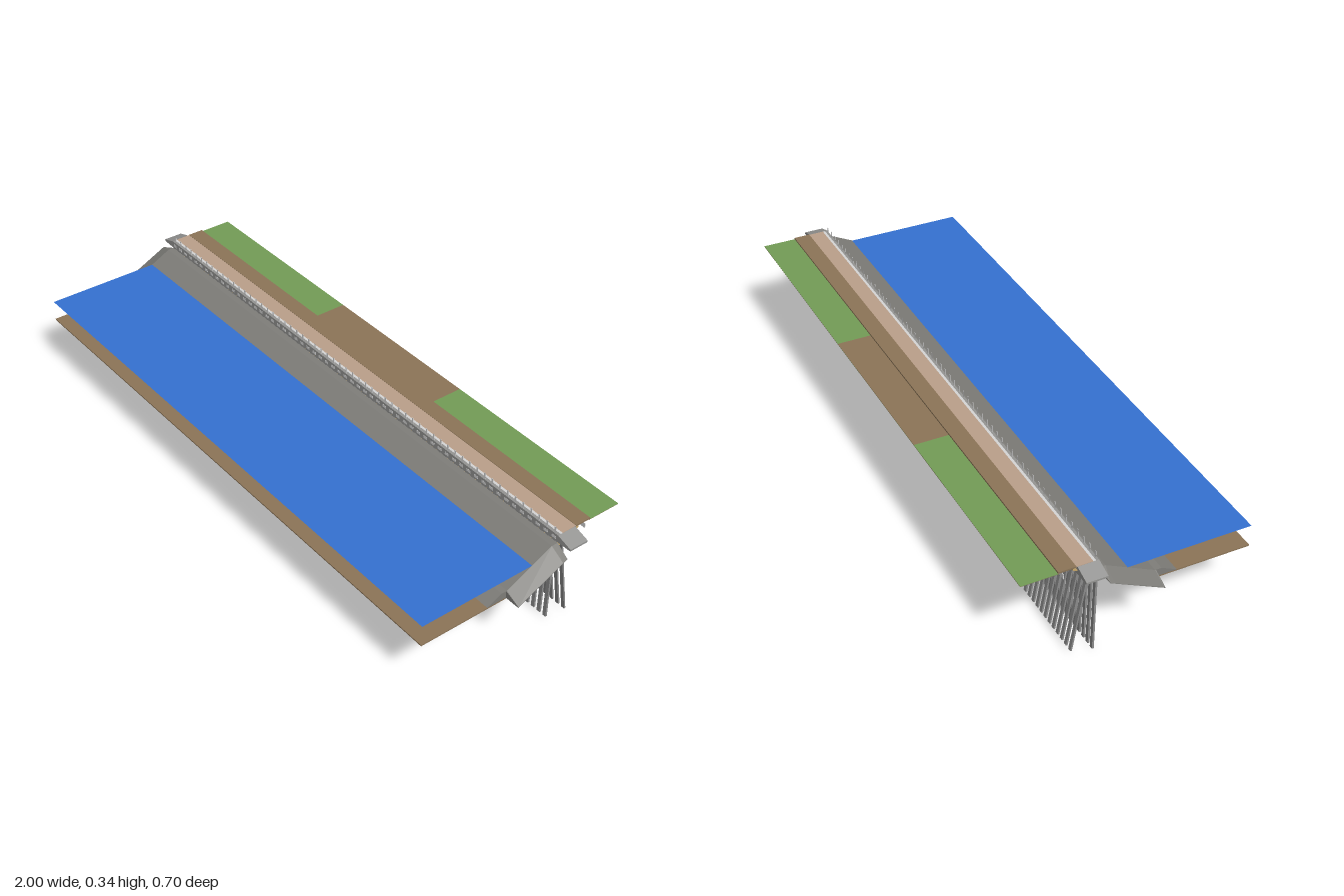
import * as THREE from 'three';

const mat = (name, color, side = THREE.FrontSide) => {
  const m = new THREE.MeshStandardMaterial({ color, side });
  m.name = name;
  return m;
};

// Solid from matching [z, y] profiles placed along x; ends are fanned from point 0.
function loft(sections) {
  const v = [], n = sections[0].p.length, end = sections.length - 1;
  const put = (s, i) => v.push(sections[s].x, sections[s].p[i % n][1], sections[s].p[i % n][0]);
  for (let s = 0; s < end; s++) {
    for (let i = 0; i < n; i++) {
      put(s, i); put(s, i + 1); put(s + 1, i + 1);
      put(s, i); put(s + 1, i + 1); put(s + 1, i);
    }
  }
  for (let i = 1; i < n - 1; i++) {
    put(end, 0); put(end, i); put(end, i + 1);
    put(0, 0); put(0, i + 1); put(0, i);
  }
  const g = new THREE.BufferGeometry();
  g.setAttribute('position', new THREE.Float32BufferAttribute(v, 3));
  g.computeVertexNormals();
  return g;
}

export function createModel() {
  const root = new THREE.Group();
  root.name = 'quayWall';
  const M = {
    water: mat('water blue', 0x3470d0, THREE.DoubleSide),
    earth: mat('earth brown', 0x8b7457),
    grass: mat('grass green', 0x739b56),
    paving: mat('paving tan', 0xba9f89),
    filter: mat('filter sand', 0xc4a468),
    rock: mat('rock grey', 0x7e7d79),
    concrete: mat('concrete grey', 0x949492),
    steel: mat('pile grey', 0x8a8a8a),
    light: mat('fitting light grey', 0xd4d4d4),
  };
  const add = (name, geo, material, parent = root) => {
    const m = new THREE.Mesh(geo, material);
    m.name = name;
    parent.add(m);
    return m;
  };
  // Box given by its limits on each axis
  const slab = (name, material, x0, x1, y0, y1, z0, z1, parent) => {
    const m = add(name, new THREE.BoxGeometry(x1 - x0, y1 - y0, z1 - z0), material, parent);
    m.position.set((x0 + x1) / 2, (y0 + y1) / 2, (z0 + z1) / 2);
    return m;
  };
  const group = (name) => {
    const g = new THREE.Group();
    g.name = name;
    root.add(g);
    return g;
  };

  // Water sheet and sea bed
  const water = add('water', new THREE.PlaneGeometry(1.9, 0.388), M.water);
  water.rotation.x = -Math.PI / 2;
  water.position.set(0, 0.254, 0.158);
  slab('seaBed', M.earth, -0.95, 0.95, 0.183, 0.187, 0.055, 0.352);

  // Land behind the wall: a surface sheet over a base sheet, in three lengths
  [['Right', -0.95, -0.29, M.grass, M.earth],
    ['Middle', -0.29, 0.285, M.earth, M.grass],
    ['Left', 0.285, 0.95, M.grass, M.earth]].forEach(([side, x0, x1, surface, base]) => {
    slab('land' + side, surface, x0, x1, 0.311, 0.312, -0.352, -0.24);
    slab('landBase' + side, base, x0, x1, 0.310, 0.311, -0.352, -0.24);
  });
  slab('landStrip', M.earth, -0.95, 0.95, 0.312, 0.317, -0.243, -0.19);

  // Sloping bed under the rock, sand showing beneath in bands and along the top
  const bedY = (z) => 0.187 + (0.057 - z) * 0.4825;
  const bedStrip = (z0, z1, drop, thick) => [
    [z0, bedY(z0) - drop - thick], [z1, bedY(z1) - drop - thick],
    [z1, bedY(z1) - drop], [z0, bedY(z0) - drop]];
  const layer = (name, material, half, strip) =>
    add(name, loft([{ x: -half, p: strip }, { x: half, p: strip }]), material);
  layer('slopeBed', M.rock, 0.95, bedStrip(0.057, -0.125, 0, 0.005));
  layer('sandTop', M.filter, 0.95, bedStrip(-0.125, -0.2, 0, 0.005));
  for (let i = 0; i < 4; i++) {
    const z = 0.03 - i * 0.042;
    layer('sandBand', M.filter, 0.949, bedStrip(z, z - 0.02, 0.0045, 0.001));
  }

  // Rock slope with a toe berm, tapering down at both ends
  const main = [[0.055, 0.187], [-0.125, 0.275], [-0.125, 0.288], [-0.103, 0.288],
    [0.052, 0.211], [0.072, 0.211], [0.121, 0.187]];
  const cut = main.map(([z, y]) => [Math.min(z, 0.055), y]);
  const tip = [[0.055, 0.187], [-0.115, 0.27], [-0.115, 0.271], [-0.1, 0.264],
    [0.05, 0.192], [0.055, 0.19], [0.055, 0.187]];
  add('rockSlope', loft([
    { x: -1, p: tip }, { x: -0.95, p: cut }, { x: -0.95, p: main },
    { x: 0.95, p: main }, { x: 0.95, p: cut }, { x: 1, p: tip },
  ]), M.rock);

  // Cap beam with ends sloping down, and its paving
  const beam = [[-0.123, 0.291], [-0.187, 0.291], [-0.187, 0.315], [-0.123, 0.315]];
  const beamTip = beam.map(([z, y]) => [z, y > 0.3 ? 0.299 : 0.293]);
  add('capBeam', loft([
    { x: -1, p: beamTip }, { x: -0.95, p: beam }, { x: 0.95, p: beam }, { x: 1, p: beamTip },
  ]), M.concrete);
  slab('paving', M.paving, -0.95, 0.95, 0.314, 0.316, -0.19, -0.14);
  slab('edgeKerb', M.light, -0.95, 0.95, 0.314, 0.316, -0.14, -0.132);

  // Posts along the edge and pads on the beam face
  const posts = group('edgePosts'), pads = group('facePads');
  const count = 60;
  for (let i = 0; i < count; i++) {
    const x = -0.935 + (1.87 * i) / (count - 1);
    slab('post', M.light, x - 0.003, x + 0.003, 0.314, 0.335, -0.1265, -0.1255, posts);
    slab('pad', M.light, x - 0.008, x + 0.008, 0.298, 0.307, -0.1235, -0.1225, pads);
  }

  // Vertical front piles, with raking piles behind the gaps
  const piles = group('frontPiles'), rakers = group('rakingPiles');
  const pileGeo = new THREE.BoxGeometry(0.012, 0.292, 0.006);
  const top = new THREE.Vector3(0, 0.287, -0.142), foot = new THREE.Vector3(0, 0.006, -0.188);
  const dir = top.clone().sub(foot);
  const rakeGeo = new THREE.BoxGeometry(0.012, dir.length(), 0.005);
  rakeGeo.rotateX(Math.atan2(dir.z, dir.y));
  const mid = top.clone().add(foot).multiplyScalar(0.5);
  const pitch = 1.9 / 80;
  for (let i = 0; i < 80; i++) {
    const x = -0.95 + pitch * (i + 0.25);
    add('frontPile', pileGeo, M.steel, piles).position.set(x, 0.146, -0.1275);
    add('rakingPile', rakeGeo, M.steel, rakers).position.set(x + pitch / 2, mid.y, mid.z);
  }

  // Buried anchor wall and tie rods
  slab('anchorWall', M.light, -0.95, 0.95, 0.288, 0.303, -0.228, -0.226);
  const ties = group('tieRods');
  const tieGeo = new THREE.CylinderGeometry(0.0008, 0.0008, 0.042, 5);
  tieGeo.rotateX(Math.PI / 2 - 0.18);
  for (let i = 0; i < 40; i++) {
    add('tieRod', tieGeo, M.steel, ties).position.set(-0.93 + (1.86 * i) / 39, 0.3, -0.2065);
  }
  return root;
}
